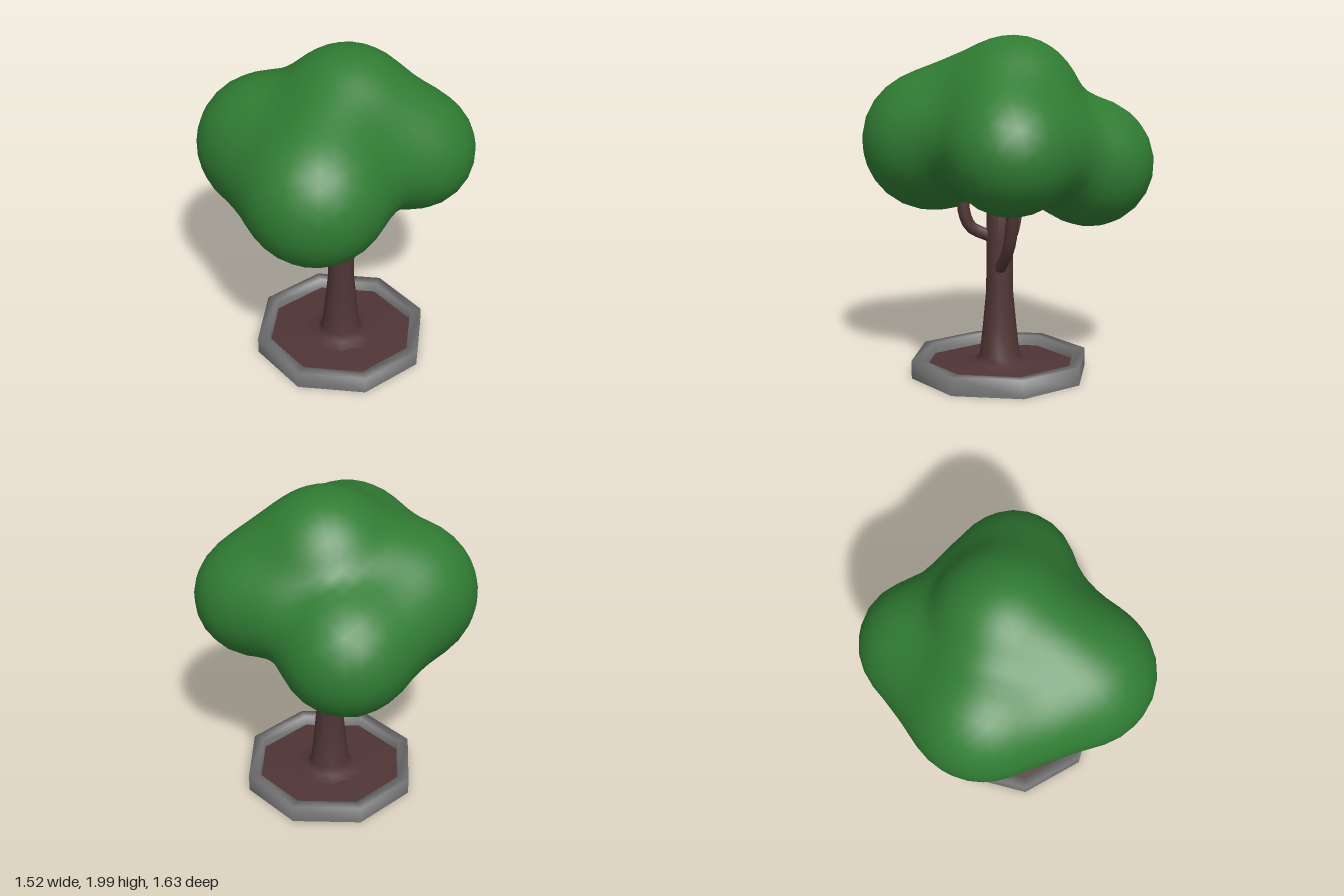
import * as THREE from 'three';
import { mergeVertices } from 'three/addons/utils/BufferGeometryUtils.js';

const paint = (name, color) => {
  const m = new THREE.MeshStandardMaterial({ color });
  m.name = name;
  return m;
};
const add = (parent, name, geometry, material) => {
  const mesh = new THREE.Mesh(geometry, material);
  mesh.name = name;
  parent.add(mesh);
  return mesh;
};
const lathe = (profile, sides) =>
  new THREE.LatheGeometry(profile.map(([r, y]) => new THREE.Vector2(r, y)), sides);

// Leaf lobes: x, y, z, radius
const LOBES = [
  // core and the five main lobes
  [0, 1.42, 0, 0.38],
  [0.07, 1.62, -0.1, 0.37],
  [-0.36, 1.37, 0.09, 0.4],
  [-0.22, 1.25, -0.445, 0.37],
  [0.42, 1.36, -0.28, 0.345],
  [0.155, 1.37, 0.41, 0.41],
  // smaller ones filling the valleys between them
  [0.16, 1.38, -0.38, 0.25],
  [0.32, 1.4, 0.08, 0.24],
  [-0.16, 1.38, 0.32, 0.29],
  [-0.36, 1.32, -0.2, 0.28],
  [0.12, 1.6, 0.2, 0.24],
  [0.32, 1.55, -0.18, 0.23],
];

// Smoothly blended distance to all the lobes
function lobeDistance(p) {
  const k = 0.06;
  let sum = 0;
  for (const [x, y, z, r] of LOBES) {
    sum += Math.exp((r - Math.hypot(p.x - x, p.y - y, p.z - z)) / k);
  }
  return -k * Math.log(sum);
}

// Canopy: a sphere whose vertices are pushed out to the blended surface
function canopyGeometry() {
  let g = new THREE.IcosahedronGeometry(1, 9);
  g.deleteAttribute('normal');
  g.deleteAttribute('uv');
  g = mergeVertices(g, 1e-4);
  const centre = new THREE.Vector3(0, 1.4, -0.02);
  const pos = g.attributes.position;
  const dir = new THREE.Vector3();
  const p = new THREE.Vector3();
  for (let i = 0; i < pos.count; i++) {
    dir.fromBufferAttribute(pos, i).normalize();
    let t = 1.3;
    const at = (s) => lobeDistance(p.copy(centre).addScaledVector(dir, s));
    while (t > 0.1 && at(t) > 0) t -= 0.02;
    let lo = t, hi = t + 0.02;
    for (let n = 0; n < 12; n++) {
      const mid = (lo + hi) / 2;
      if (at(mid) > 0) hi = mid; else lo = mid;
    }
    p.copy(centre).addScaledVector(dir, lo);
    pos.setXYZ(i, p.x, p.y, p.z);
  }
  g.computeVertexNormals();
  return g;
}

// Keep the part of a convex polygon where sign * axis value >= sign * limit
function clip(poly, axis, limit, sign) {
  const out = [];
  poly.forEach((a, i) => {
    const b = poly[(i + 1) % poly.length];
    const da = sign * (a[axis] - limit);
    const db = sign * (b[axis] - limit);
    if (da >= 0) out.push(a);
    if (da * db < 0) out.push(a.clone().lerp(b, da / (da - db)));
  });
  return out;
}

export function createModel() {
  const leaf = paint('leaf green', 0x307c33);
  const bark = paint('bark brown', 0x503535);
  const stone = paint('stone grey', 0x757575);
  const paleGrey = paint('pale grey', 0xc8c8c8);
  const yellow = paint('olive yellow', 0xd2d03a);
  const grass = paint('grass green', 0x5cbc1e);
  const deepGreen = paint('deep green', 0x07934f);
  const teal = paint('teal', 0x10b4a2);
  const mint = paint('pale mint', 0xaedab8);

  const tree = new THREE.Group();
  tree.name = 'tree';

  add(tree, 'canopy', canopyGeometry(), leaf);

  // Planter, soil and trunk share one axis
  const base = new THREE.Group();
  base.name = 'base';
  base.position.set(0.085, 0, -0.012);
  tree.add(base);

  const R = 0.532;
  add(base, 'curb', lathe([[R, 0], [R, 0.107], [0.465, 0.107], [0.455, 0.03]], 8), stone);
  add(base, 'soil', lathe([[0.46, 0.045], [0.27, 0.062], [0.1, 0.075]], 8), bark);
  add(base, 'trunk', lathe([[0.23, 0.062], [0.15, 0.08], [0.118, 0.11], [0.098, 0.3], [0.079, 0.5], [0.077, 0.8], [0.075, 1.2], [0, 1.2]], 12), bark);

  // Underside: an octagon cut into coloured fields
  const underside = new THREE.Group();
  underside.name = 'underside';
  underside.rotation.y = -Math.PI / 8;
  base.add(underside);
  const octagon = [];
  for (let i = 0; i < 8; i++) {
    const a = (i + 0.5) * Math.PI / 4;
    octagon.push(new THREE.Vector2(R * Math.cos(a), R * Math.sin(a)));
  }
  const fields = [
    ['greyField', paleGrey, 0.3, 1, -1, 1],
    ['yellowField', yellow, -1, 0.3, -1, -0.215],
    ['grassField', grass, -0.275, 0.3, -0.215, -0.01],
    ['deepGreenField', deepGreen, -0.275, 0.3, -0.01, 0.14],
    ['tealField', teal, -0.275, 0.3, 0.14, 1],
    ['mintField', mint, -1, -0.275, -0.215, 1],
  ];
  for (const [name, material, x0, x1, y0, y1] of fields) {
    let poly = clip(octagon, 'x', x0, 1);
    poly = clip(poly, 'x', x1, -1);
    poly = clip(poly, 'y', y0, 1);
    poly = clip(poly, 'y', y1, -1);
    const g = new THREE.ShapeGeometry(new THREE.Shape(poly));
    add(underside, name, g.rotateX(Math.PI / 2), material);
  }

  // Branches bending up into the leaves
  const branches = {
    sideBranch: [[0.06, 0.71, -0.01], [-0.01, 0.76, -0.01], [-0.085, 0.84, -0.01], [-0.12, 0.95, -0.01], [-0.13, 1.1, -0.01]],
    frontBranch: [[0.09, 0.81, 0], [0.125, 0.835, 0.06], [0.175, 0.88, 0.13], [0.2, 0.97, 0.16], [0.2, 1.1, 0.165]],
    backBranch: [[0.12, 0.63, -0.03], [0.155, 0.69, -0.08], [0.2, 0.8, -0.145], [0.225, 0.97, -0.18], [0.235, 1.12, -0.19]],
  };
  for (const [name, points] of Object.entries(branches)) {
    const path = new THREE.CatmullRomCurve3(points.map((q) => new THREE.Vector3(...q)));
    add(tree, name, new THREE.TubeGeometry(path, 10, 0.036, 8), bark);
  }

  return tree;
}
